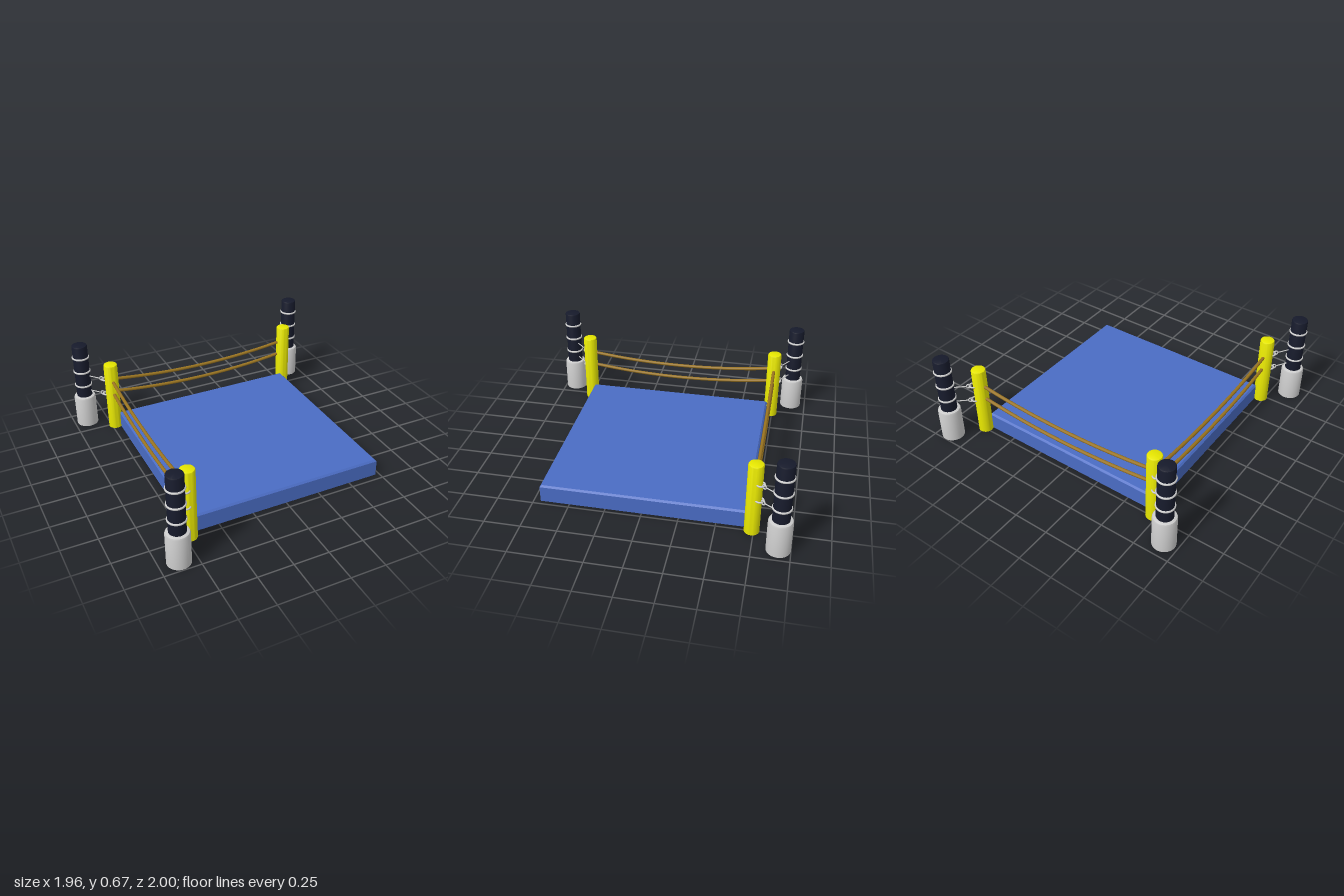
import * as THREE from 'three';
import { toCreasedNormals } from 'three/addons/utils/BufferGeometryUtils.js';

const paint = (color, side = THREE.FrontSide) => new THREE.MeshStandardMaterial({ color, side });
const grey = paint(0xcccccc);
const yellow = paint(0xe6e600);
const blue = paint(0x4a6cc4, THREE.DoubleSide);
const black = paint(0x161a2b);
const ropeBrown = paint(0x9a7420);

function part(name, geometry, material, x = 0, y = 0, z = 0) {
  const mesh = new THREE.Mesh(geometry, material);
  mesh.name = name;
  mesh.position.set(x, y, z);
  return mesh;
}

// Turned solid from [radius, height] pairs, bottom to top
function turned(profile, sides = 32, phi = 0) {
  const points = profile.map(([r, y]) => new THREE.Vector2(r, y));
  return toCreasedNormals(new THREE.LatheGeometry(points, sides, phi), 0.6);
}

// Closed cylinder with a small bevel at the top
const pillar = (r, y0, y1, bevel) =>
  turned([[0, y0], [r, y0], [r, y1 - bevel], [r - bevel * 0.3, y1 - bevel * 0.3], [r - bevel, y1], [0, y1]]);

// Sagging rope between two points
function rope(a, b, sag) {
  const points = [];
  for (let i = 0; i <= 12; i++) {
    const t = i / 12;
    const p = a.clone().lerp(b, t);
    p.y -= sag * 4 * t * (1 - t);
    points.push(p);
  }
  return part('rope', new THREE.TubeGeometry(new THREE.CatmullRomCurve3(points), 40, 0.012, 10), ropeBrown);
}

// Ground anchor: weighted base, padded pole and clamp rings
function anchor(x, z) {
  const group = new THREE.Group();
  group.name = 'anchor';
  group.position.set(x, 0, z);
  group.add(part('anchorBase', pillar(0.08, 0, 0.245, 0.016), grey));
  group.add(part('anchorPole', pillar(0.057, 0.24, 0.665, 0.008), black));
  for (const y of [0.335, 0.45, 0.565]) {
    const ring = part('clampRing', new THREE.TorusGeometry(0.057, 0.008, 10, 36), grey, 0, y, 0);
    ring.rotation.x = Math.PI / 2;
    group.add(ring);
  }
  return group;
}

// Hook rings and a tension wire running from a post to its anchor
function tether(px, pz, ax, az, y) {
  const group = new THREE.Group();
  group.name = 'tether';
  group.position.set(px, y, pz);
  const dx = ax - px, dz = az - pz;
  const length = Math.hypot(dx, dz);
  group.rotation.y = Math.atan2(-dz, dx); // local x points at the anchor
  const eye = part('postEye', new THREE.TorusGeometry(0.027, 0.006, 8, 24), grey, 0.048, 0, 0);
  eye.rotation.x = Math.PI / 2;
  const link = part('wireLink', new THREE.TorusGeometry(0.015, 0.005, 8, 20), grey, 0.08, 0, 0);
  const wire = new THREE.LineCurve3(
    new THREE.Vector3(0.09, 0, 0), new THREE.Vector3(length - 0.03, 0.012, 0));
  group.add(eye, link, part('wire', new THREE.TubeGeometry(wire, 1, 0.004, 8), grey));
  return group;
}

export function createModel() {
  const model = new THREE.Group();
  model.name = 'ropedRing';

  // Mat: square shell with a bevelled top edge, open underneath
  const half = 0.705 * Math.SQRT2;
  const inset = 0.012 * Math.SQRT2;
  const mat = turned([[half, 0], [half, 0.115], [half - inset, 0.127], [0, 0.127]], 4, Math.PI / 4);
  model.add(part('mat', mat, blue, 0.015, 0, -0.003));

  // Three corners: post position, then anchor position
  const corners = [
    [-0.72, -0.737, -0.9, -0.885],
    [0.746, -0.737, 0.895, -0.92],
    [-0.718, 0.732, -0.868, 0.915],
  ];
  for (const [px, pz, ax, az] of corners) {
    model.add(part('post', pillar(0.051, 0, 0.533, 0.01), yellow, px, 0, pz));
    model.add(anchor(ax, az));
    for (const y of [0.4, 0.277]) model.add(tether(px, pz, ax, az, y));
  }

  // Two ropes along the back and two along the right-hand side
  for (const y of [0.406, 0.3]) {
    const from = new THREE.Vector3(-0.722, y, -0.74);
    model.add(rope(from, new THREE.Vector3(0.746, y, -0.74), 0.053));
    model.add(rope(from, new THREE.Vector3(-0.722, y, 0.732), 0.053));
  }
  return model;
}
